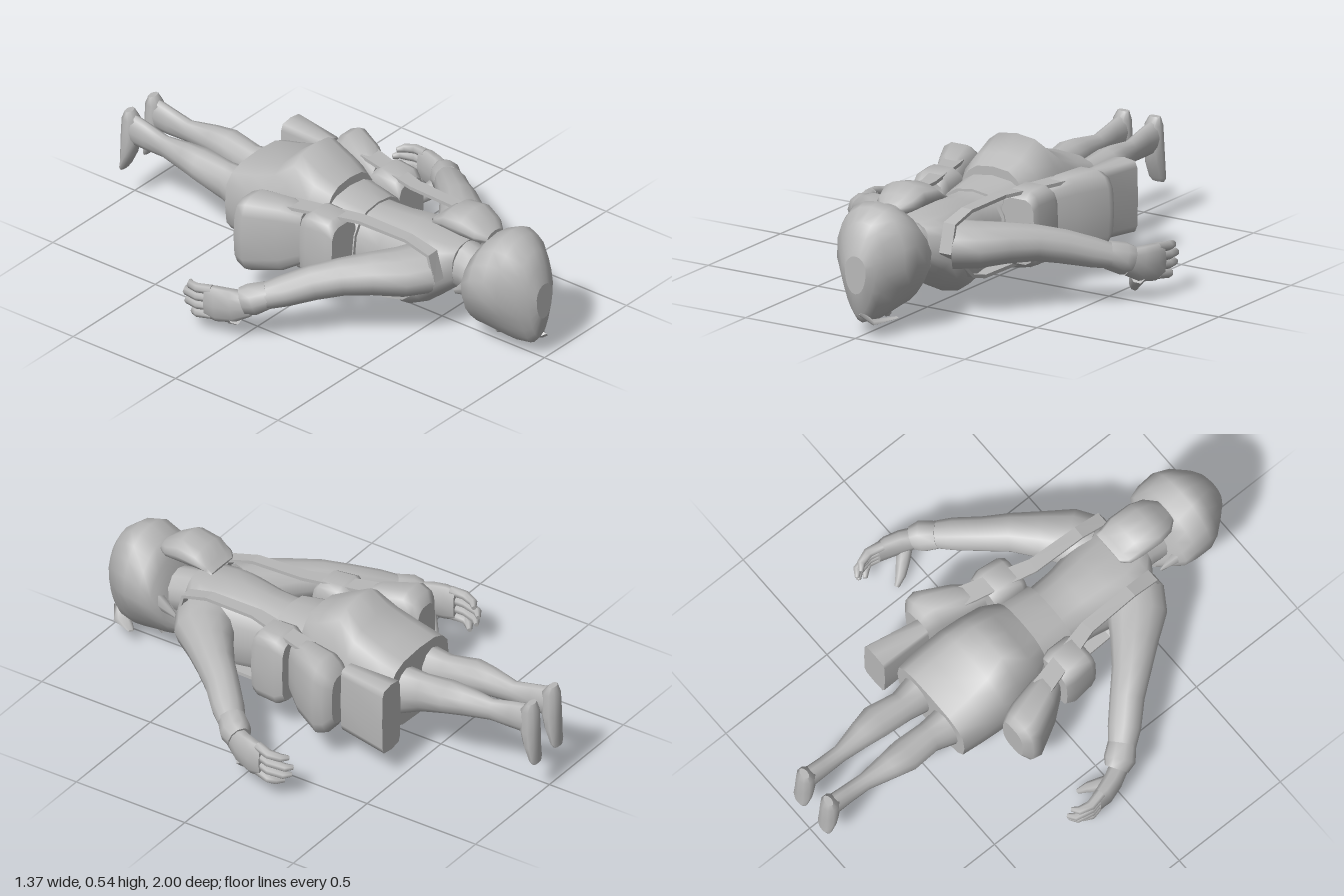
import * as THREE from 'three';

const grey = new THREE.MeshStandardMaterial({ color: 0xb8b8b8 });
grey.name = 'plain grey';
const X = new THREE.Vector3(1, 0, 0), Y = new THREE.Vector3(0, 1, 0), Z = new THREE.Vector3(0, 0, 1);

// Skin a row of rings [x, y, z, halfWidth, halfHeight]; pow < 1 makes them boxier.
// Rings stand square to the path, or to a fixed axis when one is given.
function loft(name, rows, { sides = 12, pow = 1, up = Y, axis, shape } = {}) {
  const pos = [], idx = [], rings = [];
  const pts = rows.map(r => new THREE.Vector3(r[0], r[1], r[2]));
  const run = pts.at(-1).clone().sub(pts[0]);
  const sp = v => Math.sign(v) * Math.pow(Math.abs(v), pow);
  rows.forEach((r, i) => {
    const d = axis ? axis.clone().multiplyScalar(Math.sign(run.dot(axis)))
      : pts[Math.min(i + 1, pts.length - 1)].clone().sub(pts[Math.max(i - 1, 0)]).normalize();
    const side = up.clone().cross(d).normalize(), top = d.clone().cross(side);
    const ring = [];
    for (let j = 0; j < sides; j++) {
      const a = (j + (sides === 4 ? 0.5 : 0)) / sides * Math.PI * 2, k = sides === 4 ? Math.SQRT2 : 1;
      const p = pts[i].clone().addScaledVector(side, sp(Math.cos(a)) * r[3] * k).addScaledVector(top, sp(Math.sin(a)) * r[4] * k);
      if (shape) shape(p);
      ring.push(p);
      pos.push(p.x, p.y, p.z);
    }
    rings.push(ring);
  });
  for (let i = 0; i < rows.length - 1; i++)
    for (let j = 0; j < sides; j++) {
      const a = i * sides + j, b = i * sides + (j + 1) % sides;
      idx.push(a, b, b + sides, a, b + sides, a + sides);
    }
  // Flat caps with their own vertices
  for (const [ring, c, flip] of [[rings[0], pts[0], true], [rings.at(-1), pts.at(-1), false]]) {
    const s = pos.length / 3;
    pos.push(c.x, c.y, c.z);
    ring.forEach(p => pos.push(p.x, p.y, p.z));
    for (let j = 0; j < sides; j++) {
      const a = s + 1 + j, b = s + 1 + (j + 1) % sides;
      flip ? idx.push(s, b, a) : idx.push(s, a, b);
    }
  }
  let g = new THREE.BufferGeometry();
  g.setAttribute('position', new THREE.Float32BufferAttribute(pos, 3));
  g.setIndex(idx);
  if (sides === 4) g = g.toNonIndexed();
  g.computeVertexNormals();
  const m = new THREE.Mesh(g, grey);
  m.name = name;
  return m;
}

// Ring along z from its half-width and its lowest and highest y
const slice = (z, w, lo, hi, x = 0) => [x, (lo + hi) / 2, z, w, (hi - lo) / 2];

export function createModel() {
  const model = new THREE.Group();
  model.name = 'proneFigure';
  const add = (...a) => model.add(loft(...a));

  // Head, narrowing towards the face
  add('head', [slice(0.66, 0.09, 0.09, 0.2), slice(0.7, 0.14, 0.075, 0.3), slice(0.725, 0.175, 0.07, 0.42),
    slice(0.77, 0.182, 0.065, 0.475), slice(0.84, 0.182, 0.055, 0.51), slice(0.89, 0.16, 0.05, 0.5),
    slice(0.95, 0.11, 0.055, 0.455), slice(0.98, 0.08, 0.09, 0.4), slice(1, 0.05, 0.18, 0.33)], {
    sides: 20, pow: 0.9, axis: Z,
    shape: p => { p.x *= 1 - 0.42 * THREE.MathUtils.clamp((0.29 - p.y) / 0.22, 0, 1); },
  });
  add('nose', [[0, 0.09, 0.8, 0.03, 0.03], [0, 0.045, 0.775, 0.014, 0.014]], { sides: 6, up: X });
  add('hairBun', [slice(0.76, 0.05, 0.43, 0.48), slice(0.72, 0.085, 0.43, 0.51), slice(0.66, 0.1, 0.43, 0.543),
    slice(0.57, 0.1, 0.44, 0.525, 0.005), slice(0.52, 0.09, 0.447, 0.48, 0.008), slice(0.495, 0.075, 0.453, 0.462, 0.02)],
  { sides: 12, axis: Z });
  add('fringe', [[0, 0.1, 0.96, 0.04, 0.012], [0.04, 0.06, 0.94, 0.035, 0.008], [0.1, 0.07, 0.86, 0.012, 0.004]], { sides: 6 });
  add('neck', [slice(0.56, 0.1, 0.18, 0.385), slice(0.64, 0.085, 0.18, 0.375), slice(0.74, 0.09, 0.17, 0.35)], { axis: Z });

  // Body
  add('torso', [slice(0.62, 0.09, 0.2, 0.38), slice(0.57, 0.16, 0.16, 0.39), slice(0.5, 0.185, 0.1, 0.395),
    slice(0.4, 0.165, 0.045, 0.4), slice(0.3, 0.145, 0.06, 0.39), slice(0.2, 0.14, 0.085, 0.385),
    slice(0.08, 0.165, 0.09, 0.4), slice(-0.05, 0.18, 0.1, 0.42)], { sides: 16, pow: 0.85, axis: Z });
  add('belt', [slice(0.19, 0.155, 0.08, 0.395), slice(0.05, 0.18, 0.08, 0.415)], { sides: 16, pow: 0.8, axis: Z });
  add('shorts', [slice(0.05, 0.15, 0.1, 0.45), slice(-0.02, 0.19, 0.08, 0.485), slice(-0.12, 0.21, 0.07, 0.54),
    slice(-0.2, 0.213, 0.07, 0.475), slice(-0.3, 0.208, 0.09, 0.435), slice(-0.4, 0.2, 0.11, 0.405)], {
    sides: 16, pow: 0.6, axis: Z,
    shape: p => { p.x *= 1 - 0.3 * THREE.MathUtils.clamp((p.y - 0.36) / 0.16, 0, 1); },
  });
  add('frontFlap', [slice(0.06, 0.12, 0.07, 0.14), slice(-0.02, 0.14, 0.03, 0.14), slice(-0.13, 0.13, 0.01, 0.14),
    slice(-0.22, 0.1, 0.08, 0.14)], { sides: 8, axis: Z });
  add('holster', [slice(-0.235, 0.04, 0.12, 0.4, 0.25), slice(-0.455, 0.062, 0.11, 0.405, 0.27)], { sides: 12, pow: 0.35, axis: Z });

  for (const s of [1, -1]) {
    const tag = s > 0 ? 'left' : 'right';
    const part = (name, rows, opt) => add(tag + name, rows.map(([x, ...r]) => [s * x, ...r]), opt);

    part('HairLock', [[0.12, 0.28, 0.74, 0.03, 0.04], [0.11, 0.22, 0.65, 0.004, 0.01]], { sides: 6 });

    // Arm
    part('Arm', [[0.12, 0.275, 0.5, 0.12, 0.095], [0.2, 0.275, 0.455, 0.115, 0.09], [0.28, 0.275, 0.375, 0.092, 0.08],
      [0.36, 0.268, 0.295, 0.076, 0.072], [0.43, 0.245, 0.215, 0.067, 0.068], [0.51, 0.215, 0.135, 0.064, 0.06],
      [0.585, 0.185, 0.055, 0.048, 0.046]], { sides: 12 });
    part('Cuff', [[0.55, 0.2, 0.09, 0.055, 0.055], [0.59, 0.182, 0.045, 0.062, 0.064], [0.608, 0.17, 0.015, 0.047, 0.058]], { sides: 10 });

    // Hand with the fingers stacked in height and curling inwards
    part('Palm', [[0.6, 0.165, 0.04, 0.038, 0.05], [0.63, 0.15, -0.02, 0.038, 0.07],
      [0.65, 0.145, -0.08, 0.035, 0.074], [0.655, 0.145, -0.125, 0.026, 0.068]], { sides: 10, pow: 0.85 });
    for (let f = 0; f < 4; f++) {
      const y = 0.2 - f * 0.036, l = [0, 0.02, 0.012, -0.02][f];
      part('Finger' + (f + 1), [[0.652, y, -0.1, 0.021, 0.019], [0.665, y - 0.008, -0.16, 0.02, 0.019],
        [0.652, y - 0.015, -0.205 - l, 0.017, 0.017], [0.627, y - 0.02, -0.225 - l, 0.009, 0.01]], { sides: 7 });
    }
    part('Thumb', [[0.625, 0.11, -0.01, 0.032, 0.04], [0.59, 0.07, -0.05, 0.028, 0.032],
      [0.56, 0.04, -0.085, 0.021, 0.024], [0.54, 0.014, -0.12, 0.01, 0.012]], { sides: 7 });

    // Leg and downward foot
    part('Leg', [[0.09, 0.26, -0.25, 0.095, 0.13], [0.085, 0.26, -0.4, 0.075, 0.1], [0.08, 0.275, -0.48, 0.06, 0.08],
      [0.088, 0.305, -0.6, 0.069, 0.066], [0.083, 0.31, -0.68, 0.054, 0.058], [0.074, 0.31, -0.79, 0.033, 0.045],
      [0.072, 0.32, -0.88, 0.033, 0.058], [0.072, 0.33, -0.96, 0.036, 0.066]], { axis: Z });
    part('Foot', [[0.072, 0.407, -0.968, 0.014, 0.025], [0.072, 0.375, -0.96, 0.036, 0.038], [0.072, 0.28, -0.962, 0.038, 0.042],
      [0.072, 0.22, -0.97, 0.03, 0.042], [0.072, 0.16, -0.986, 0.014, 0.038], [0.072, 0.143, -0.992, 0.008, 0.026]],
    { sides: 10, up: X, axis: Y });

    // Shoulder strap, over the back and round to the chest
    part('Strap', [[0.24, 0.41, -0.05, 0.007, 0.04], [0.162, 0.41, 0.24, 0.007, 0.028], [0.155, 0.405, 0.46, 0.007, 0.025],
      [0.15, 0.375, 0.57, 0.007, 0.027], [0.15, 0.27, 0.6, 0.007, 0.027], [0.145, 0.14, 0.44, 0.007, 0.027],
      [0.14, 0.115, 0.35, 0.007, 0.027], [0.15, 0.115, 0.02, 0.007, 0.027]], { sides: 4, up: X });

    // Hip pouches
    part('HipPouch', [slice(0.02, 0.05, 0.17, 0.4, 0.22), slice(-0.05, 0.075, 0.13, 0.43, 0.25),
      slice(-0.17, 0.095, 0.11, 0.44, 0.295), slice(-0.21, 0.085, 0.13, 0.42, 0.3), slice(-0.235, 0.06, 0.17, 0.38, 0.29)],
    { sides: 14, pow: 0.65, axis: Z });
    part('SidePouch', [slice(0.185, 0.075, 0.13, 0.39, 0.205), slice(0.16, 0.085, 0.115, 0.42, 0.205),
      slice(0.07, 0.09, 0.115, 0.425, 0.21), slice(0.035, 0.08, 0.14, 0.4, 0.21)], { sides: 14, pow: 0.5, axis: Z });
  }
  return model;
}
